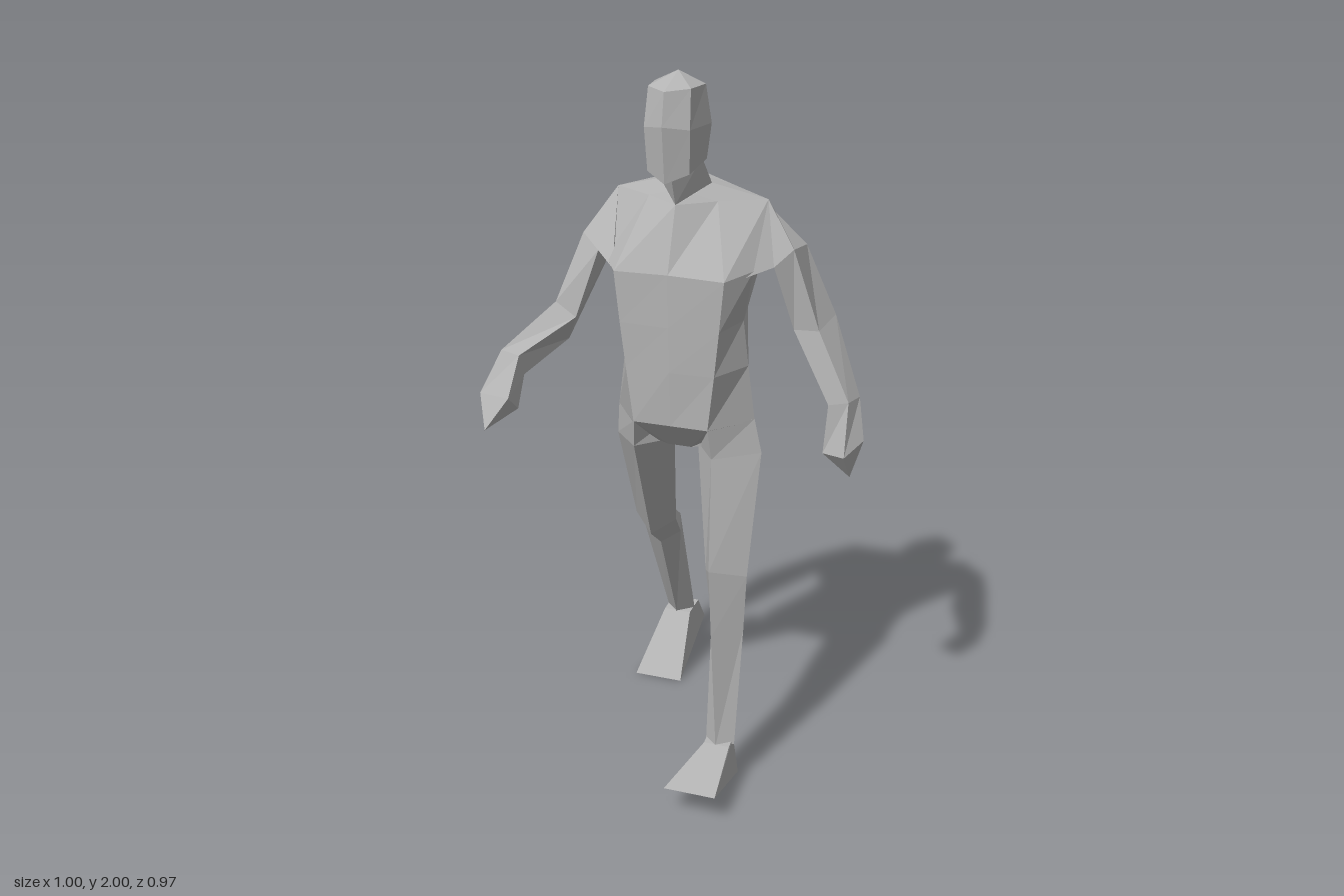
import * as THREE from 'three';

const MID = -0.01; // body centre line

// Joins rings of points, listed from top to bottom, into a faceted closed skin.
// Rings run counterclockwise as seen from above.
function loft(name, rings, material, { top, tip } = {}) {
  const pos = [];
  const tri = (...corners) => corners.forEach((p) => pos.push(...p));
  const centre = (ring) => [0, 1, 2].map((k) => ring.reduce((s, p) => s + p[k], 0) / ring.length);
  const n = rings[0].length;
  const first = rings[0], last = rings[rings.length - 1];
  const start = top || centre(first), end = tip || centre(last);
  for (let i = 0; i < n; i++) {
    const j = (i + 1) % n;
    tri(first[i], first[j], start);
    for (let r = 0; r < rings.length - 1; r++) {
      const up = rings[r], down = rings[r + 1];
      tri(down[i], down[j], up[j]);
      tri(down[i], up[j], up[i]);
    }
    tri(last[j], last[i], end);
  }
  const geometry = new THREE.BufferGeometry();
  geometry.setAttribute('position', new THREE.Float32BufferAttribute(pos, 3));
  geometry.computeVertexNormals();
  const mesh = new THREE.Mesh(geometry, material);
  mesh.name = name;
  return mesh;
}

// Half ring from front to back, [half width, y, z], mirrored to a full ring
function mirrored(half) {
  const left = half.map(([x, y, z]) => [MID + x, y, z]);
  const right = half.slice(1, -1).reverse().map(([x, y, z]) => [MID - x, y, z]);
  return [...left, ...right];
}

export function createModel() {
  const grey = new THREE.MeshStandardMaterial({ color: 0xb4b4b4, flatShading: true });
  grey.name = 'body grey';
  const man = new THREE.Group();
  man.name = 'walkingMan';

  // Head, from crown to jaw
  man.add(loft('head', [
    [[0, 1.96, 0.18], [0.06, 1.965, 0.14], [0.072, 1.965, 0.06], [0, 1.94, -0.02]],
    [[0, 1.87, 0.197], [0.065, 1.86, 0.16], [0.085, 1.86, 0.05], [0, 1.87, -0.018]],
    [[0, 1.715, 0.18], [0.06, 1.74, 0.15], [0.075, 1.765, 0.06], [0, 1.8, 0]],
  ].map(mirrored), grey, { top: [MID, 2, 0.075] }));

  // Neck
  man.add(loft('neck', [
    [[0, 1.735, 0.135], [0.065, 1.77, 0.07], [0, 1.81, 0]],
    [[0, 1.64, 0.1], [0.075, 1.69, 0.02], [0, 1.715, -0.035]],
  ].map(mirrored), grey));

  // Torso: neck base, shoulders, chest, ribs, waist, hips, crotch
  man.add(loft('torso', [
    [[0, 1.64, 0.1], [0.04, 1.665, 0.06], [0.075, 1.69, 0.02], [0.04, 1.7, -0.01], [0, 1.715, -0.035]],
    [[0, 1.64, 0.1], [0.1, 1.645, 0.04], [0.22, 1.645, -0.03], [0.12, 1.675, -0.035], [0, 1.715, -0.035]],
    [[0, 1.46, 0.16], [0.16, 1.455, 0.155], [0.215, 1.47, 0.075], [0.21, 1.585, -0.12], [0, 1.585, -0.133]],
    [[0, 1.31, 0.158], [0.145, 1.31, 0.152], [0.17, 1.31, 0.02], [0.14, 1.31, -0.1], [0, 1.31, -0.11]],
    [[0, 1.18, 0.155], [0.13, 1.18, 0.148], [0.185, 1.18, 0.02], [0.125, 1.18, -0.07], [0, 1.18, -0.075]],
    [[0, 1.02, 0.145], [0.11, 1.02, 0.145], [0.205, 1.02, 0.02], [0.12, 1.02, -0.105], [0, 1.02, -0.118]],
    [[0, 0.935, 0.07], [0.035, 0.935, 0.07], [0.19, 0.95, 0.02], [0.04, 0.935, -0.05], [0, 0.935, -0.05]],
  ].map(mirrored), grey));

  // Left arm: shoulder, upper arm, elbow, wrist, knuckles
  man.add(loft('leftArm', [
    [[0.17, 1.45, 0.115], [0.21, 1.645, -0.03], [0.2, 1.588, -0.12], [0.18, 1.46, -0.1]],
    [[0.25, 1.475, 0.035], [0.295, 1.52, 0], [0.3, 1.51, -0.1], [0.25, 1.46, -0.11]],
    [[0.295, 1.29, -0.01], [0.365, 1.29, -0.02], [0.385, 1.315, -0.11], [0.33, 1.315, -0.16]],
    [[0.405, 1.09, 0.01], [0.46, 1.1, 0], [0.475, 1.1, -0.06], [0.42, 1.09, -0.06]],
    [[0.395, 0.95, 0.02], [0.465, 0.955, 0.05], [0.5, 0.985, -0.025], [0.43, 0.95, -0.07]],
  ], grey, { tip: [0.465, 0.875, -0.015] }));

  // Right arm, bent forward
  man.add(loft('rightArm', [
    [[-0.23, 1.645, -0.03], [-0.19, 1.45, 0.115], [-0.2, 1.46, -0.1], [-0.22, 1.588, -0.115]],
    [[-0.31, 1.52, 0.035], [-0.255, 1.48, 0.06], [-0.26, 1.45, -0.04], [-0.31, 1.52, -0.04]],
    [[-0.37, 1.33, 0.1], [-0.31, 1.29, 0.1], [-0.345, 1.215, 0.07], [-0.4, 1.31, 0.01]],
    [[-0.46, 1.23, 0.27], [-0.4, 1.225, 0.285], [-0.395, 1.165, 0.265], [-0.465, 1.165, 0.25]],
    [[-0.505, 1.115, 0.32], [-0.4, 1.125, 0.36], [-0.395, 1.08, 0.31], [-0.48, 1.075, 0.29]],
  ], grey, { tip: [-0.46, 1.035, 0.39] }));

  // Legs are diamond shaped, with edges at the front, back and both sides.
  // Left leg, striding forward: hip, thigh, knee, calf, ankle
  man.add(loft('leftLeg', [
    [[0.1, 1.02, 0.143], [0.195, 1.025, 0.02], [0.1, 1.02, -0.105], [0.03, 1, 0.02]],
    [[0.11, 0.935, 0.14], [0.22, 0.93, 0.03], [0.13, 0.93, -0.1], [0.03, 0.935, 0.03]],
    [[0.14, 0.64, 0.24], [0.225, 0.605, 0.16], [0.16, 0.59, 0.1], [0.1, 0.605, 0.155]],
    [[0.155, 0.45, 0.26], [0.225, 0.45, 0.185], [0.18, 0.43, 0.08], [0.125, 0.45, 0.17]],
    [[0.18, 0.12, 0.287], [0.225, 0.12, 0.255], [0.18, 0.12, 0.233], [0.14, 0.12, 0.255]],
  ], grey));

  // Right leg, trailing
  man.add(loft('rightLeg', [
    [[-0.12, 1.02, 0.143], [-0.05, 1, 0.02], [-0.12, 1.02, -0.105], [-0.215, 1.025, 0.02]],
    [[-0.13, 0.935, 0.12], [-0.045, 0.935, 0.02], [-0.14, 0.93, -0.1], [-0.22, 0.93, 0.02]],
    [[-0.155, 0.58, -0.065], [-0.1, 0.61, -0.13], [-0.165, 0.635, -0.2], [-0.235, 0.605, -0.15]],
    [[-0.155, 0.52, -0.145], [-0.12, 0.53, -0.22], [-0.16, 0.54, -0.322], [-0.235, 0.53, -0.22]],
    [[-0.19, 0.175, -0.365], [-0.142, 0.18, -0.4], [-0.17, 0.185, -0.45], [-0.23, 0.18, -0.4]],
  ], grey));

  // Wedge feet: ankle, then toe edge and heel edge
  man.add(loft('leftFoot', [
    [[0.145, 0.125, 0.285], [0.22, 0.125, 0.285], [0.215, 0.13, 0.235], [0.14, 0.13, 0.235]],
    [[0.1, 0.08, 0.485], [0.25, 0.08, 0.485], [0.225, 0.01, 0.22], [0.125, 0.01, 0.22]],
  ], grey));
  man.add(loft('rightFoot', [
    [[-0.23, 0.18, -0.365], [-0.145, 0.18, -0.365], [-0.145, 0.19, -0.44], [-0.23, 0.19, -0.44]],
    [[-0.28, 0, -0.24], [-0.13, 0, -0.24], [-0.14, 0.115, -0.485], [-0.23, 0.115, -0.485]],
  ], grey));

  return man;
}
